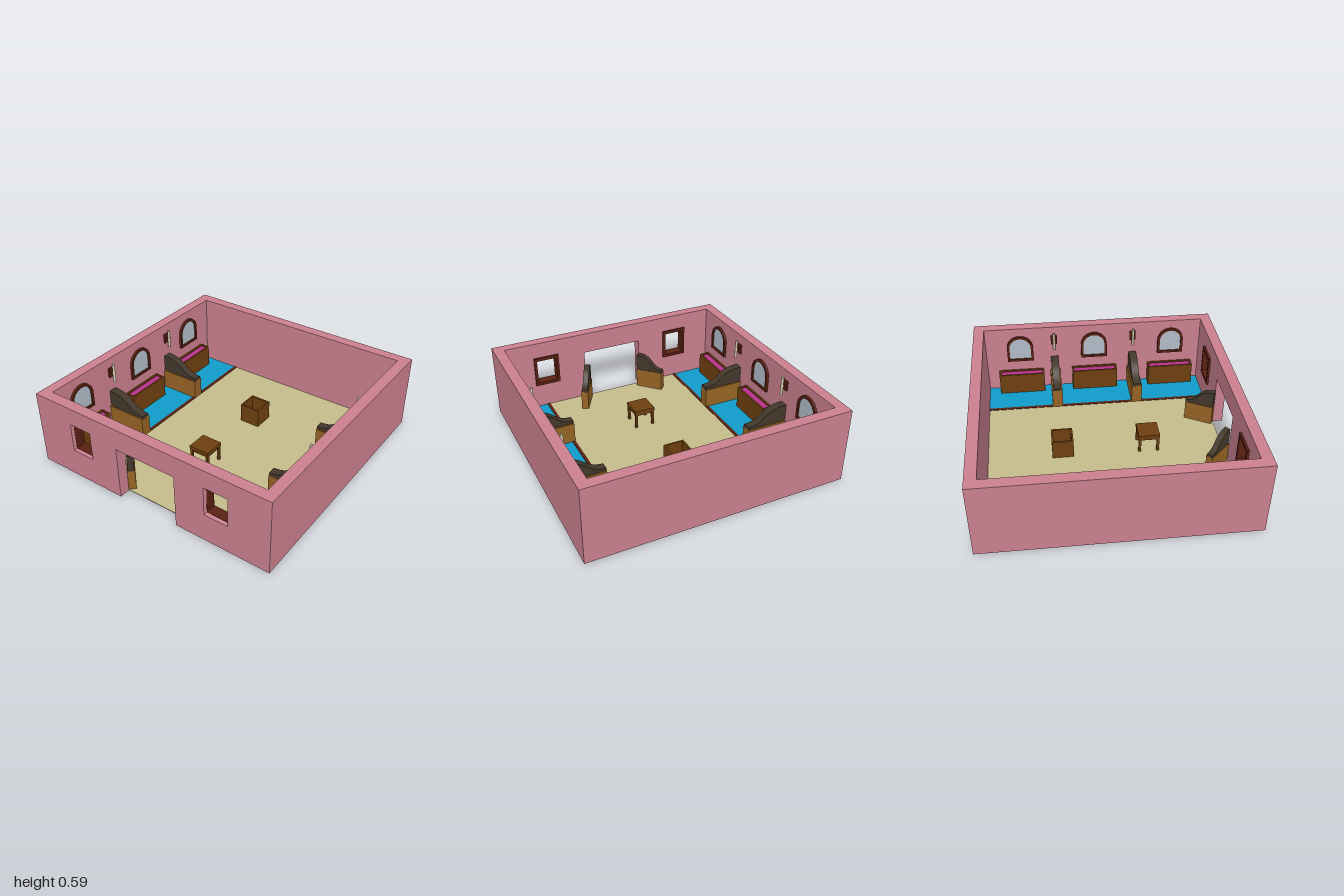
import * as THREE from 'three';

const mat = (name, color, side = THREE.FrontSide) => {
  const m = new THREE.MeshStandardMaterial({ color, side });
  m.name = name;
  return m;
};

export function createModel() {
  const model = new THREE.Group();
  model.name = 'stable';
  const pink = mat('pink plaster', 0xc97f8e, THREE.DoubleSide);
  const blue = mat('blue stall floor', 0x0f9bc9);
  const sand = mat('sand floor', 0xc4ba8a);
  const redwood = mat('dark red wood', 0x5a2012);
  const oak = mat('oak boards', 0x946224);
  const dark = mat('dark wood', 0x42372a);
  const brown = mat('brown wood', 0x6e3f0f);
  const magenta = mat('magenta feed', 0xb8328c);
  const glass = mat('pale glass', 0xb0bac6);
  const wax = mat('candle wax', 0xcfc6a8);

  const add = (parent, name, geo, m, x = 0, y = 0, z = 0) => {
    const mesh = new THREE.Mesh(geo, m);
    mesh.name = name;
    mesh.position.set(x, y, z);
    parent.add(mesh);
    return mesh;
  };
  // Box given by its limits on each axis
  const block = (parent, name, m, x0, x1, y0, y1, z0, z1) =>
    add(parent, name, new THREE.BoxGeometry(x1 - x0, y1 - y0, z1 - z0), m,
      (x0 + x1) / 2, (y0 + y1) / 2, (z0 + z1) / 2);
  const group = (name, x = 0, y = 0, z = 0, turn = 0) => {
    const g = new THREE.Group();
    g.name = name;
    g.position.set(x, y, z);
    g.rotation.y = turn;
    model.add(g);
    return g;
  };
  const rect = (P, w, h, cx, cy) => {
    const p = new P();
    p.moveTo(cx - w / 2, cy - h / 2);
    p.lineTo(cx + w / 2, cy - h / 2);
    p.lineTo(cx + w / 2, cy + h / 2);
    p.lineTo(cx - w / 2, cy + h / 2);
    p.closePath();
    return p;
  };
  const extrude = (shape, depth) =>
    new THREE.ExtrudeGeometry(shape, { depth, bevelEnabled: false, curveSegments: 16 });

  // Walls
  const IN = 0.917, H = 0.59, winX = 0.585, winY = 0.337;
  block(model, 'backWall', pink, -1, 1, 0, H, -1, -IN);
  block(model, 'rightWall', pink, -1, -IN, 0, H, -IN, IN);
  block(model, 'leftWall', pink, IN, 1, 0, H, -IN, IN);

  // Front wall with doorway and two window holes
  const front = new THREE.Shape();
  [[-1, 0], [-0.25, 0], [-0.25, 0.42], [0.25, 0.42], [0.25, 0], [1, 0], [1, H], [-1, H]]
    .forEach(([x, y], i) => (i ? front.lineTo(x, y) : front.moveTo(x, y)));
  front.closePath();
  for (const s of [-1, 1]) front.holes.push(rect(THREE.Path, 0.186, 0.226, s * winX, winY));
  add(model, 'frontWall', extrude(front, 1 - IN), pink, 0, 0, IN);

  // Windows: splayed plaster edge, wooden lining and inner frame
  for (const s of [-1, 1]) {
    const w = group('window', s * winX, winY, 0);
    const q = Math.SQRT1_2;
    const splay = new THREE.CylinderGeometry(q, q * 0.9, 0.02, 4, 1, true)
      .rotateY(Math.PI / 4).scale(0.186, 1, 0.226).rotateX(Math.PI / 2).toNonIndexed();
    splay.computeVertexNormals();
    add(w, 'windowSplay', splay, pink, 0, 0, 0.99);
    const lining = rect(THREE.Shape, 0.186, 0.226, 0, 0);
    lining.holes.push(rect(THREE.Path, 0.165, 0.2, 0, 0));
    add(w, 'windowLining', extrude(lining, 0.07), redwood, 0, 0, 0.91);
    const frame = rect(THREE.Shape, 0.208, 0.25, 0, 0);
    frame.holes.push(rect(THREE.Path, 0.165, 0.2, 0, 0));
    add(w, 'windowFrame', extrude(frame, 0.017), redwood, 0, 0, 0.9);
  }

  // Floors
  block(model, 'aisleFloor', sand, -0.587, 0.587, 0.002, 0.008, -IN, IN);
  for (const s of [-1, 1]) {
    const span = (a, b) => (s > 0 ? [a, b] : [-b, -a]);
    block(model, 'stallFloor', blue, ...span(0.608, IN), 0.002, 0.008, -IN, IN);
    block(model, 'floorStrip', redwood, ...span(0.585, 0.61), 0.001, 0.012, -IN, IN);
  }

  // Boarded panel with a sweeping top: tall at x = 0, low at x = length
  const panel = (parent, length, thick, inset) => {
    block(parent, 'panelBoards', oak, 0, length, 0.006, 0.17, -thick / 2, thick / 2);
    const s = new THREE.Shape();
    s.moveTo(0, 0.16);
    s.lineTo(length, 0.16);
    s.lineTo(length, 0.19);
    s.bezierCurveTo(length * 0.55, 0.19, length * 0.6, 0.3, length * 0.12, 0.306);
    s.lineTo(0, 0.306);
    s.closePath();
    const t = thick - 2 * inset;
    add(parent, 'panelCap', extrude(s, t), dark, 0, 0, -t / 2);
  };

  // Stall partitions
  for (const z of [-0.34, 0.333]) {
    panel(group('rightPartition', -IN, 0, z), 0.332, 0.086, 0.011);
    panel(group('leftPartition', IN, 0, z, Math.PI), 0.332, 0.086, 0.011);
  }
  // Open doors, hinged at the doorway
  panel(group('rightDoor', -0.23, 0, 0.897, Math.PI * 0.745), 0.23, 0.056, 0.005);
  panel(group('leftDoor', 0.23, 0, 0.908, Math.PI * 0.338), 0.23, 0.056, 0.005);

  // Arched outline for the mirrors
  const arch = (P, r, y0, y1) => {
    const p = new P();
    p.moveTo(-r, y0);
    p.lineTo(r, y0);
    p.lineTo(r, y1);
    p.absarc(0, y1, r, 0, Math.PI, false);
    p.closePath();
    return p;
  };

  for (const s of [-1, 1]) {
    const turn = s < 0 ? Math.PI / 2 : -Math.PI / 2;
    // Troughs with an arched mirror above; local +z points into the room
    for (const z of [-0.63, 0, 0.662]) {
      const t = group('trough', s * IN, 0, z, turn);
      block(t, 'troughBack', brown, -0.192, 0.192, 0, 0.19, 0, 0.014);
      block(t, 'troughFront', brown, -0.192, 0.192, 0, 0.19, 0.073, 0.087);
      for (const e of [-1, 1])
        block(t, 'troughEnd', brown, e * 0.185 - 0.007, e * 0.185 + 0.007, 0, 0.19, 0.014, 0.073);
      block(t, 'troughBase', brown, -0.178, 0.178, 0, 0.02, 0.014, 0.073);
      block(t, 'feed', magenta, -0.178, 0.178, 0.02, 0.178, 0.014, 0.073);

      const m = group('archMirror', s * IN, 0, z, turn);
      const frame = arch(THREE.Shape, 0.11, 0.285, 0.41);
      frame.holes.push(arch(THREE.Path, 0.09, 0.305, 0.41));
      add(m, 'mirrorFrame', extrude(frame, 0.02), redwood);
      add(m, 'mirrorGlass', extrude(arch(THREE.Shape, 0.092, 0.303, 0.41), 0.008), glass);
    }
    // Wall candles above the partitions
    for (const z of [-0.34, 0.333]) {
      const c = group('wallCandle', s * IN, 0, z, turn);
      block(c, 'candlePlate', redwood, -0.026, 0.026, 0.43, 0.51, 0, 0.014);
      block(c, 'candleArm', redwood, -0.009, 0.009, 0.455, 0.475, 0.014, 0.036);
      add(c, 'candle', new THREE.CylinderGeometry(0.011, 0.011, 0.15, 12), wax, 0, 0.47, 0.037);
    }
  }

  // Open crate at the rear
  const crate = group('crate', 0, 0, -0.338);
  block(crate, 'crateBase', brown, -0.083, 0.083, 0, 0.015, -0.083, 0.083);
  for (const s of [-1, 1]) {
    block(crate, 'crateSide', brown, s * 0.076 - 0.007, s * 0.076 + 0.007, 0.015, 0.16, -0.083, 0.083);
    block(crate, 'crateEnd', brown, -0.069, 0.069, 0.015, 0.16, s * 0.076 - 0.007, s * 0.076 + 0.007);
  }

  // Small table near the entrance
  const table = group('table', 0, 0, 0.332);
  block(table, 'tableTop', brown, -0.083, 0.083, 0.132, 0.162, -0.083, 0.083);
  for (const s of [-1, 1]) {
    block(table, 'tableApron', brown, -0.062, 0.062, 0.115, 0.132, s * 0.07 - 0.006, s * 0.07 + 0.006);
    block(table, 'tableApron', brown, s * 0.07 - 0.006, s * 0.07 + 0.006, 0.115, 0.132, -0.062, 0.062);
    for (const e of [-1, 1])
      block(table, 'tableLeg', brown, s * 0.071 - 0.01, s * 0.071 + 0.01, 0, 0.132, e * 0.071 - 0.01, e * 0.071 + 0.01);
  }

  return model;
}
